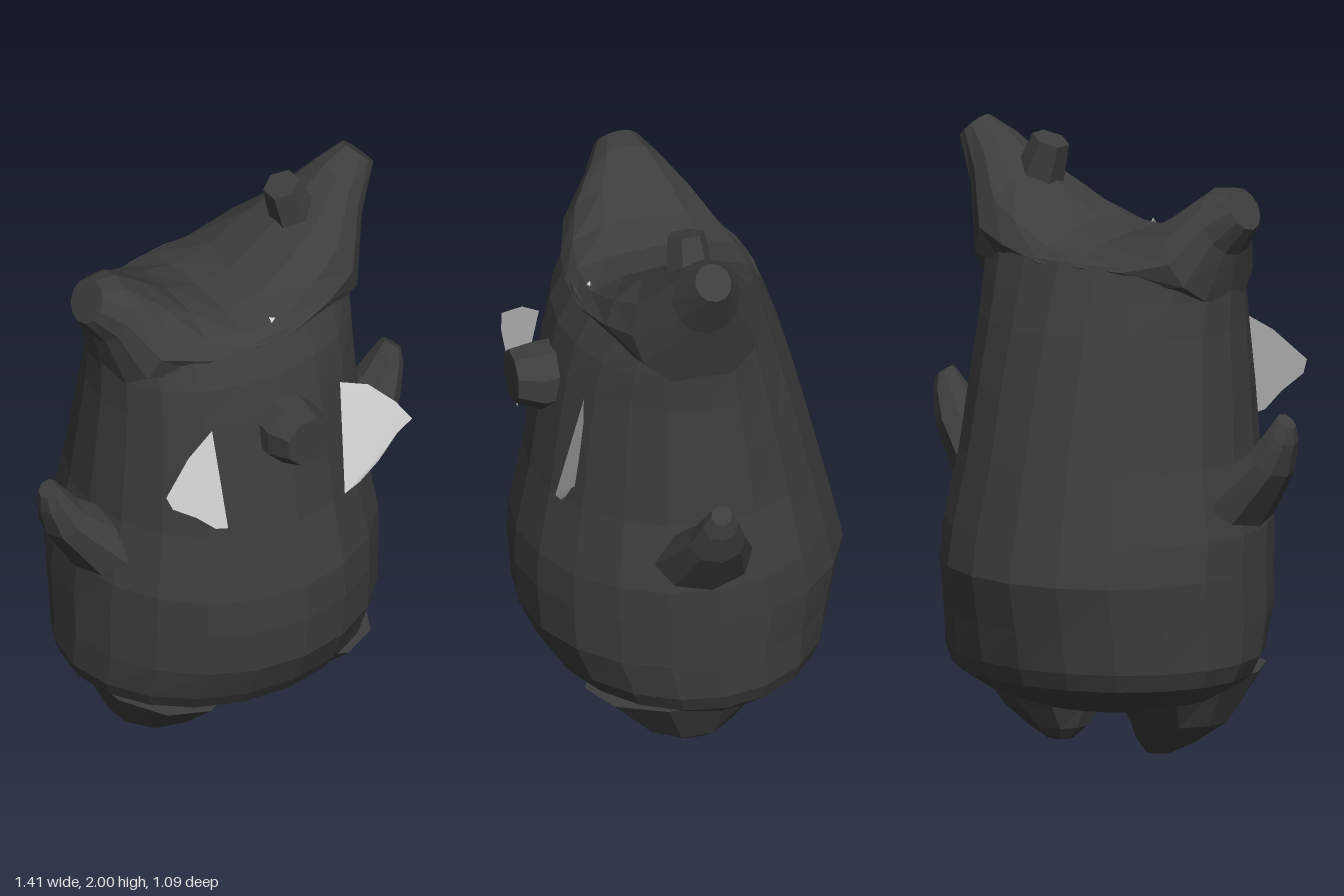
import * as THREE from 'three';

const dark = new THREE.MeshStandardMaterial({ color: 0x3d3d3d, flatShading: true });
dark.name = 'charcoal';
const pale = new THREE.MeshStandardMaterial({ color: 0xd4d4d4, side: THREE.DoubleSide });
pale.name = 'pale grey';

const V = (x, y, z) => new THREE.Vector3(x, y, z);

// Capped skin over elliptical rings { c, u, v }; u x v points along the loft
function loft(name, rings, sides, turn = 0) {
  const pos = [], idx = [], n = rings.length;
  for (const { c, u, v } of rings) {
    for (let j = 0; j < sides; j++) {
      const a = (j / sides) * Math.PI * 2 + turn;
      const p = c.clone().addScaledVector(u, Math.cos(a)).addScaledVector(v, Math.sin(a));
      pos.push(p.x, p.y, p.z);
    }
  }
  const first = n * sides, last = first + 1;
  pos.push(...rings[0].c.toArray(), ...rings[n - 1].c.toArray());
  for (let j = 0; j < sides; j++) {
    const k = (j + 1) % sides;
    for (let i = 0; i < n - 1; i++) {
      const a = i * sides + j, b = i * sides + k;
      idx.push(a, b, b + sides, a, b + sides, a + sides);
    }
    const top = (n - 1) * sides;
    idx.push(first, k, j, last, top + j, top + k);
  }
  const indexed = new THREE.BufferGeometry();
  indexed.setAttribute('position', new THREE.Float32BufferAttribute(pos, 3));
  indexed.setIndex(idx);
  const geo = indexed.toNonIndexed();
  geo.computeVertexNormals();
  const mesh = new THREE.Mesh(geo, dark);
  mesh.name = name;
  return mesh;
}

// Horizontal ring: height, x centre, x radius, front z, back z
const level = (y, x, rx, zf, zb) => ({
  c: V(x, y, (zf + zb) / 2), u: V(0, 0, (zf - zb) / 2), v: V(rx, 0, 0),
});

// Thin curved cheek patch, bent to follow the chest
function cheek(name, outline, flare) {
  const geo = new THREE.ShapeGeometry(new THREE.Shape(outline.map(([x, y]) => new THREE.Vector2(x, y))));
  const p = geo.attributes.position;
  for (let i = 0; i < p.count; i++) {
    const x = Math.abs(p.getX(i)), y = p.getY(i);
    p.setZ(i, 0.375 + 0.22 * (1.37 - y) + flare * Math.max(0, x - 0.25));
  }
  geo.computeVertexNormals();
  const mesh = new THREE.Mesh(geo, pale);
  mesh.name = name;
  return mesh;
}

export function createModel() {
  const model = new THREE.Group();
  model.name = 'creature';

  // Plump body
  model.add(loft('body', [
    [0.16, 0.28, 0.20, -0.25], [0.20, 0.43, 0.32, -0.34], [0.27, 0.51, 0.42, -0.46],
    [0.33, 0.535, 0.46, -0.485], [0.46, 0.537, 0.52, -0.51], [0.62, 0.537, 0.535, -0.545],
    [0.75, 0.535, 0.53, -0.515], [0.98, 0.49, 0.485, -0.46], [1.2, 0.475, 0.455, -0.405],
    [1.4, 0.46, 0.42, -0.35], [1.52, 0.46, 0.39, -0.31], [1.63, 0.465, 0.335, -0.27],
  ].map(([y, rx, zf, zb]) => level(y, 0, rx, zf, zb)), 20));

  // Saddle-shaped crown running from one ear tip to the other:
  // top x, top y, bottom x, bottom y, half depth
  model.add(loft('crownAndEars', [
    [-0.48, 1.88, -0.55, 1.75, 0.075], [-0.40, 1.87, -0.49, 1.66, 0.125],
    [-0.30, 1.80, -0.45, 1.50, 0.22], [-0.20, 1.73, -0.25, 1.50, 0.275],
    [-0.08, 1.69, -0.08, 1.55, 0.305], [0.06, 1.71, 0.10, 1.52, 0.305],
    [0.20, 1.80, 0.30, 1.50, 0.27], [0.30, 1.865, 0.45, 1.50, 0.22],
    [0.42, 1.96, 0.52, 1.74, 0.115], [0.505, 2.0, 0.595, 1.91, 0.06],
  ].map(([tx, ty, bx, by, rz]) => ({
    c: V((tx + bx) / 2, (ty + by) / 2, 0.035),
    u: V((tx - bx) / 2, (ty - by) / 2, 0),
    v: V(0, 0, rz),
  })), 12));

  for (const s of [-1, 1]) {
    const side = s > 0 ? 'left' : 'right';

    // Stubby foot
    model.add(loft(side + 'Foot', [
      level(0, s * 0.195, 0.045, 0.05, -0.03), level(0.04, s * 0.215, 0.105, 0.11, -0.065),
      level(0.11, s * 0.25, 0.165, 0.21, -0.12), level(0.27, s * 0.27, 0.22, 0.38, -0.25),
    ], 10));

    // Tapered raised arm: x, y, half thickness, half depth
    model.add(loft(side + 'Arm', [
      [0.48, 0.85, 0.115, 0.165], [0.62, 1.0, 0.075, 0.095],
      [0.663, 1.09, 0.053, 0.06], [0.675, 1.135, 0.035, 0.035],
    ].map(([x, y, r, rz]) => ({
      c: V(s * x, y, 0.045), u: V(-0.78 * r, s * 0.62 * r, 0), v: V(0, 0, rz),
    })), 8));
  }

  // Eight-sided snout
  model.add(loft('snout', [
    [1.335, 0.36, 0.108], [1.325, 0.46, 0.112], [1.34, 0.545, 0.088],
  ].map(([y, z, r]) => ({ c: V(0, y, z), u: V(r, 0, 0), v: V(0, r, 0) })), 8, Math.PI / 8));

  // Small knob on the taller ear
  const knob = new THREE.Mesh(new THREE.CylinderGeometry(0.062, 0.08, 0.13, 6), dark);
  knob.name = 'earKnob';
  knob.position.set(0.272, 1.89, 0.035);
  knob.rotation.z = 0.35;
  model.add(knob);

  // Pale cheek patches
  model.add(cheek('rightCheek', [
    [-0.48, 1.25], [-0.46, 1.20], [-0.37, 1.13], [-0.30, 1.06], [-0.25, 1.04],
    [-0.26, 1.39], [-0.37, 1.34],
  ], 0.12));
  model.add(cheek('leftCheek', [
    [0.20, 0.99], [0.26, 1.01], [0.33, 1.07], [0.40, 1.15], [0.455, 1.19],
    [0.41, 1.26], [0.33, 1.34], [0.24, 1.37],
  ], 0.28));

  // Tiny fleck on the front of the crown
  const fleck = new THREE.Mesh(new THREE.TetrahedronGeometry(0.013), pale);
  fleck.name = 'crownFleck';
  fleck.position.set(0.03, 1.665, 0.295);
  model.add(fleck);

  return model;
}
